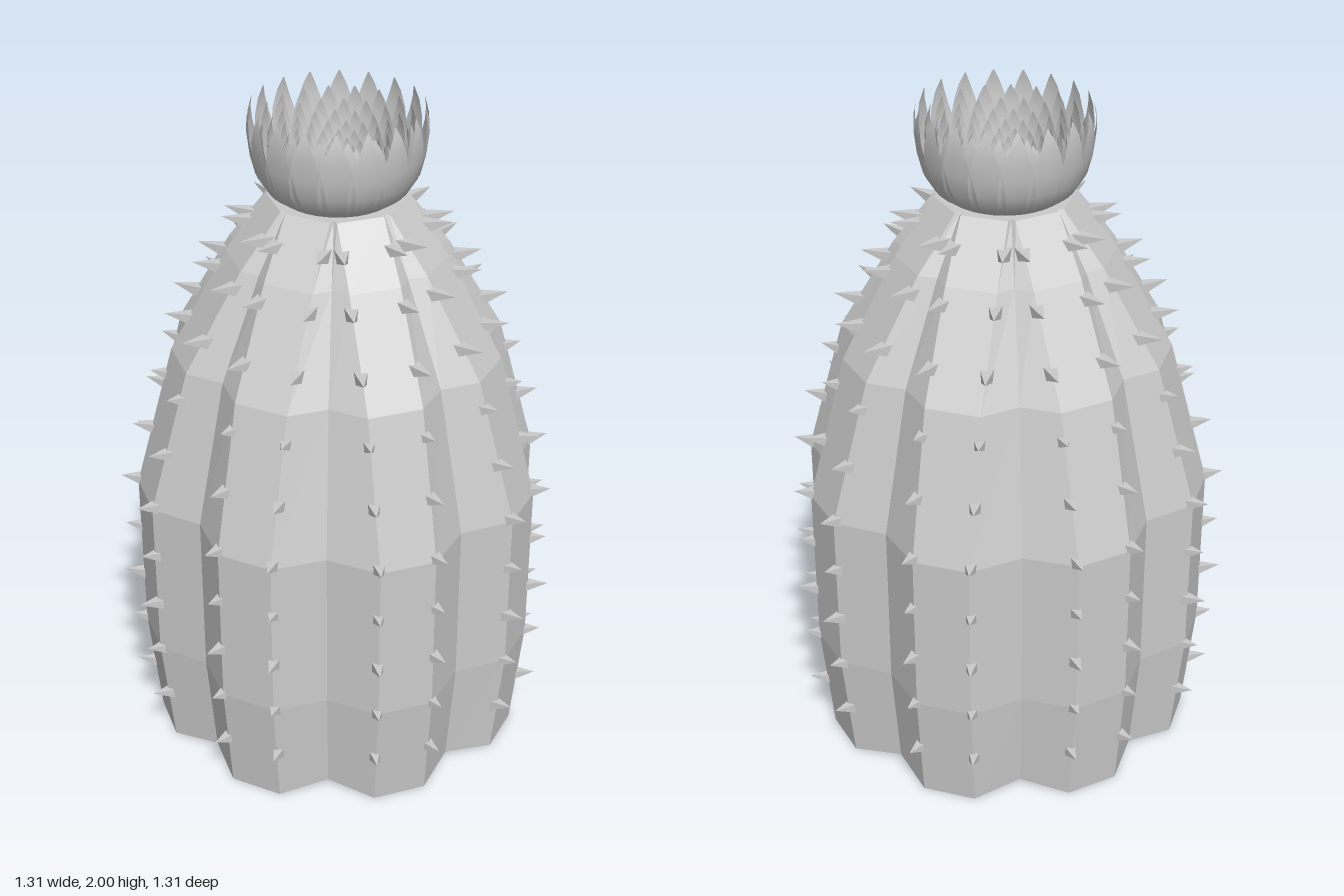
import * as THREE from 'three';
import { mergeGeometries } from 'three/addons/utils/BufferGeometryUtils.js';

const RIBS = 8;

// Levels of the stem: [height, rib radius, half width of the rib's flat, valley radius]
const LEVELS = [
  [0, 0.565, 0.08, 0.5],
  [0.35, 0.6, 0.083, 0.53],
  [0.85, 0.6, 0.083, 0.53],
  [1.28, 0.48, 0.08, 0.43],
  [1.57, 0.31, 0.074, 0.29],
  [1.73, 0.19, 0.068, 0.19],
];

// Stem measurements at any height
function levelAt(y) {
  let i = 0;
  while (i < LEVELS.length - 2 && LEVELS[i + 1][0] < y) i++;
  const a = LEVELS[i], b = LEVELS[i + 1];
  const t = (y - a[0]) / (b[0] - a[0]);
  return a.map((v, k) => THREE.MathUtils.lerp(v, b[k], t));
}

// Star-shaped outline: two corners per rib, then a valley
function outline([y, radius, half, valley]) {
  const points = [];
  const up = new THREE.Vector3(0, 1, 0);
  for (let i = 0; i < RIBS; i++) {
    const angle = (i / RIBS) * Math.PI * 2;
    const add = (x, h, z, turn) => points.push(new THREE.Vector3(x, h, z).applyAxisAngle(up, turn));
    add(-half, y, radius, angle);
    add(half, y, radius, angle);
    add(0, y === 0 ? 0.02 : y, valley, angle + Math.PI / RIBS);
  }
  return points;
}

// Ribbed stem, open underneath and closed on top
function stemGeometry() {
  const rings = LEVELS.map(outline);
  const n = rings[0].length;
  const corners = [];
  for (let j = 0; j < rings.length - 1; j++) {
    for (let i = 0; i < n; i++) {
      const k = (i + 1) % n;
      const a = rings[j][i], b = rings[j][k], c = rings[j + 1][k], d = rings[j + 1][i];
      corners.push(a, b, c, a, c, d);
    }
  }
  const top = rings[rings.length - 1];
  const centre = new THREE.Vector3(0, top[0].y, 0);
  for (let i = 0; i < n; i++) corners.push(top[i], top[(i + 1) % n], centre);
  const g = new THREE.BufferGeometry().setFromPoints(corners);
  g.computeVertexNormals();
  return g;
}

// Four-sided thorn along +z with its tip lifted level with the top of its base
function thornGeometry(length) {
  const g = new THREE.ConeGeometry(0.031, length, 4, 1);
  g.rotateY(Math.PI / 4);
  g.translate(0, length / 2, 0);
  g.rotateX(Math.PI / 2);
  const p = g.attributes.position;
  for (let i = 0; i < p.count; i++) {
    if (p.getZ(i) > length * 0.9) p.setY(i, p.getY(i) + 0.022);
  }
  return g;
}

// Thorns along both edges of every rib
function thornsGeometry() {
  const heights = [0.165, 0.34, 0.51, 0.68, 0.85, 1.02, 1.19, 1.365, 1.515, 1.645];
  const lengths = [0.09, 0.08, 0.095, 0.08, 0.085, 0.09, 0.075, 0.1, 0.1, 0.1];
  const parts = [];
  heights.forEach((y, j) => {
    const [, radius, half] = levelAt(y);
    for (let i = 0; i < RIBS; i++) {
      for (const side of [-1, 1]) {
        const g = thornGeometry(lengths[j]);
        g.rotateY(side * 0.25);
        g.translate(side * (half - 0.006), y, radius - 0.035);
        g.rotateY((i / RIBS) * Math.PI * 2);
        parts.push(g);
      }
    }
  });
  return mergeGeometries(parts);
}

// Petal rows: [radius, height above the flower's base, half width]
const PETAL = [
  [0.15, 0, 0.035],
  [0.2, 0.035, 0.046],
  [0.231, 0.085, 0.052],
  [0.245, 0.14, 0.05],
  [0.252, 0.2, 0.034],
  [0.25, 0.245, 0.018],
  [0.242, 0.28, 0.002],
];

// One cupped, pointed petal facing +z
function petalGeometry() {
  const g = new THREE.PlaneGeometry(2, 1, 2, PETAL.length - 1);
  const p = g.attributes.position;
  for (let i = 0; i < p.count; i++) {
    const [radius, y, half] = PETAL[PETAL.length - 1 - Math.floor(i / 3)];
    const a = (p.getX(i) * half) / radius;
    p.setXYZ(i, Math.sin(a) * radius, y, Math.cos(a) * radius);
  }
  g.computeVertexNormals();
  return g;
}

// Nested rings of petals shrinking toward the heart of the flower
function flowerGeometry() {
  const rings = 18, perRing = 18, parts = [];
  for (let r = 0; r < rings; r++) {
    const s = 0.88 ** r;
    for (let i = 0; i < perRing; i++) {
      const g = petalGeometry();
      g.scale(s, s, s);
      g.rotateY(((i + r * 0.4) / perRing) * Math.PI * 2);
      parts.push(g);
    }
  }
  const g = mergeGeometries(parts);
  g.translate(0, 1.72, 0);
  return g;
}

export function createModel() {
  const group = new THREE.Group();
  group.name = 'cactus';
  const add = (name, geometry, options) => {
    const material = new THREE.MeshStandardMaterial({ color: 0xcccccc, ...options });
    const mesh = new THREE.Mesh(geometry, material);
    mesh.name = name;
    group.add(mesh);
  };
  add('stem', stemGeometry(), { flatShading: true, side: THREE.DoubleSide });
  add('thorns', thornsGeometry(), { flatShading: true });
  add('flower', flowerGeometry(), { side: THREE.DoubleSide });
  return group;
}
